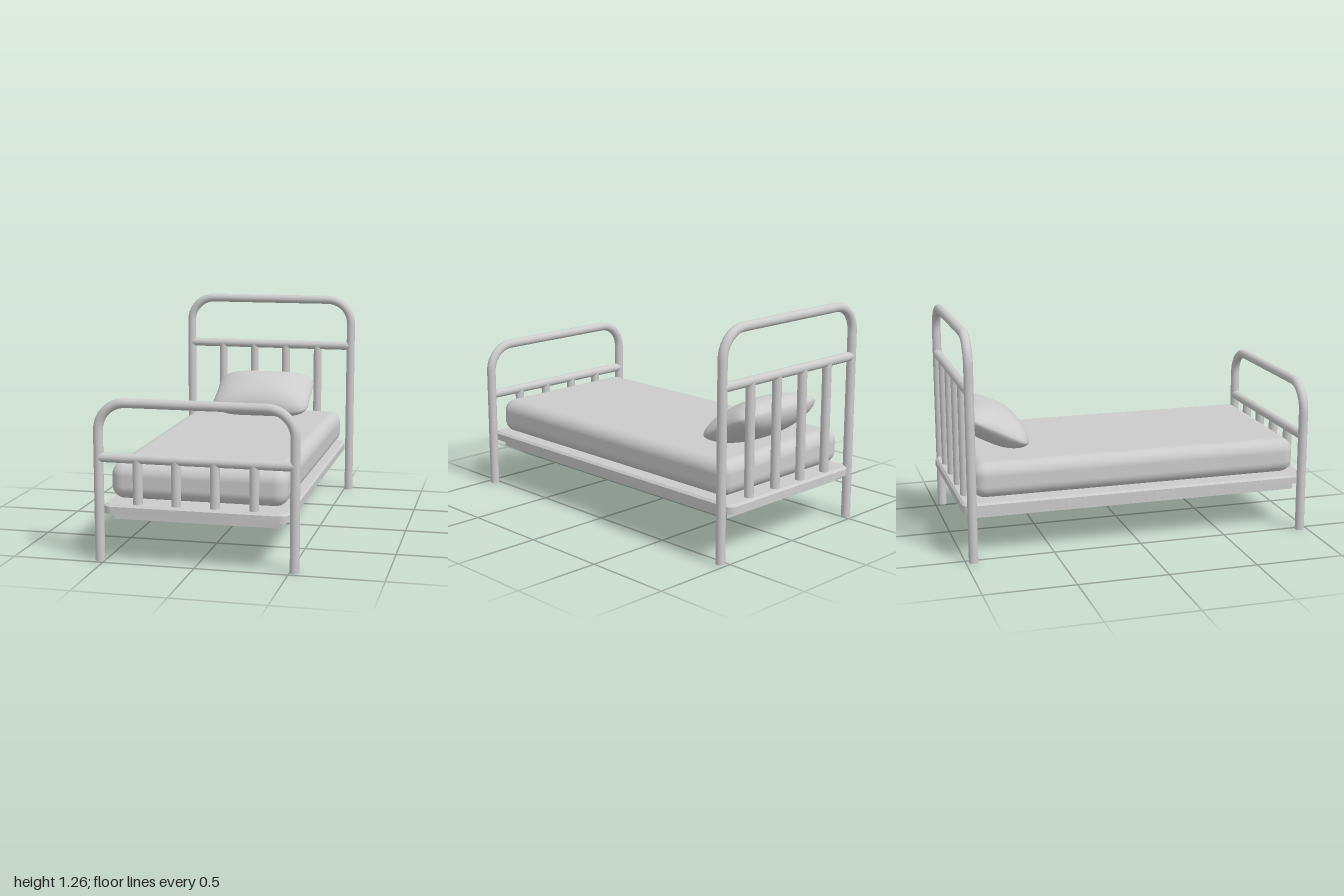
import * as THREE from 'three';
import { RoundedBoxGeometry } from 'three/addons/geometries/RoundedBoxGeometry.js';
import { toCreasedNormals } from 'three/addons/utils/BufferGeometryUtils.js';

const material = new THREE.MeshStandardMaterial({ color: 0xcccccc });
const TUBE = 0.026;   // radius of all metal tubes
const POST_X = 0.527;
const END_Z = 0.957;
const DECK_Y = 0.318; // top of the bed deck

function add(parent, name, geometry, x = 0, y = 0, z = 0) {
  const mesh = new THREE.Mesh(geometry, material);
  mesh.name = name;
  mesh.position.set(x, y, z);
  parent.add(mesh);
  return mesh;
}

// Planar hoop: up one post, round the corners, down the other
class HoopCurve extends THREE.Curve {
  constructor(halfWidth, height, radius) {
    super();
    const w = halfWidth - radius, h = height - radius;
    this.path = new THREE.Path().moveTo(-halfWidth, 0);
    this.path.lineTo(-halfWidth, h);
    this.path.absarc(-w, h, radius, Math.PI, Math.PI / 2, true);
    this.path.lineTo(w, height);
    this.path.absarc(w, h, radius, Math.PI / 2, 0, true);
    this.path.lineTo(halfWidth, 0);
  }
  getPoint(t, target = new THREE.Vector3()) {
    const p = this.path.getPoint(t);
    return target.set(p.x, p.y, 0);
  }
}

// Headboard or footboard: hoop, cross rail and four spindles
function bedEnd(name, height, railY, z) {
  const end = new THREE.Group();
  end.name = name;
  end.position.z = z;
  add(end, 'hoop', new THREE.TubeGeometry(new HoopCurve(POST_X, height - TUBE, 0.15), 120, TUBE, 16));
  for (const side of [-1, 1]) {
    add(end, 'postFoot', new THREE.CircleGeometry(TUBE, 16).rotateX(Math.PI / 2), side * POST_X);
  }
  const rail = new THREE.CylinderGeometry(TUBE, TUBE, 2 * POST_X - 0.01, 16).rotateZ(Math.PI / 2);
  add(end, 'crossRail', rail, 0, railY);
  const length = railY - DECK_Y;
  for (const x of [-0.313, -0.104, 0.104, 0.313]) {
    add(end, 'spindle', new THREE.CylinderGeometry(TUBE, TUBE, length, 16), x, DECK_Y + length / 2);
  }
  return end;
}

// Deck board with rounded plan corners and an eased top edge
function deckGeometry(w, d, h, r, ease) {
  const s = new THREE.Shape();
  s.absarc(w - r, d - r, r, 0, Math.PI / 2);
  s.absarc(-w + r, d - r, r, Math.PI / 2, Math.PI);
  s.absarc(-w + r, -d + r, r, Math.PI, Math.PI * 1.5);
  s.absarc(w - r, -d + r, r, Math.PI * 1.5, Math.PI * 2);
  s.closePath();
  const g = new THREE.ExtrudeGeometry(s, { depth: h, steps: 2, bevelEnabled: false, curveSegments: 6 });
  const p = g.attributes.position;
  for (let i = 0; i < p.count; i++) {
    const z = p.getZ(i);
    if (z > h * 0.75) p.setXY(i, p.getX(i) * (1 - ease / w), p.getY(i) * (1 - ease / d));
    else if (z > h * 0.25) p.setZ(i, h - ease);
  }
  return toCreasedNormals(g.rotateX(-Math.PI / 2), 0.6);
}

// Pillow: sphere pushed out to a squarish outline with pinched sides and thin edges
function pillowGeometry(a, b, thickness) {
  const g = new THREE.SphereGeometry(1, 64, 32);
  const p = g.attributes.position;
  const power = (v, e) => Math.sign(v) * Math.abs(v) ** e;
  for (let i = 0; i < p.count; i++) {
    const x = p.getX(i), y = p.getY(i), z = p.getZ(i);
    const rho = Math.hypot(x, z) || 1e-6;
    const u = power(x / rho, 0.5) * rho, v = power(z / rho, 0.5) * rho;
    p.setXYZ(i,
      a * 1.03 * u * (1 - 0.09 * (1 - v * v) * rho * rho),
      thickness * power(y, 1.25),
      b * 1.03 * v * (1 - 0.12 * (1 - u * u) * rho * rho));
  }
  g.computeVertexNormals();
  // Match normals across the wrap seam
  const n = g.attributes.normal;
  for (let row = 0; row <= 32; row++) {
    const i = row * 65, j = i + 64;
    const m = new THREE.Vector3().fromBufferAttribute(n, i)
      .add(new THREE.Vector3().fromBufferAttribute(n, j)).normalize();
    n.setXYZ(i, m.x, m.y, m.z);
    n.setXYZ(j, m.x, m.y, m.z);
  }
  return g;
}

export function createModel() {
  const bed = new THREE.Group();
  bed.name = 'bed';

  bed.add(bedEnd('headboard', 1.263, 0.943, -END_Z));
  bed.add(bedEnd('footboard', 0.881, 0.561, END_Z));

  // Deck and the narrower base under it
  add(bed, 'deck', deckGeometry(0.498, 1, 0.05, 0.05, 0.012), 0, DECK_Y - 0.05);
  add(bed, 'base', new THREE.BoxGeometry(0.91, 0.045, 1.87), 0, 0.2475);

  add(bed, 'mattress', new RoundedBoxGeometry(0.958, 0.198, 1.87, 6, 0.07), 0, 0.427);

  // Pillow leaning on the headboard
  const pillow = add(bed, 'pillow', pillowGeometry(0.325, 0.215, 0.11), 0, 0.648, -0.75);
  pillow.rotation.x = 0.47;

  return bed;
}
